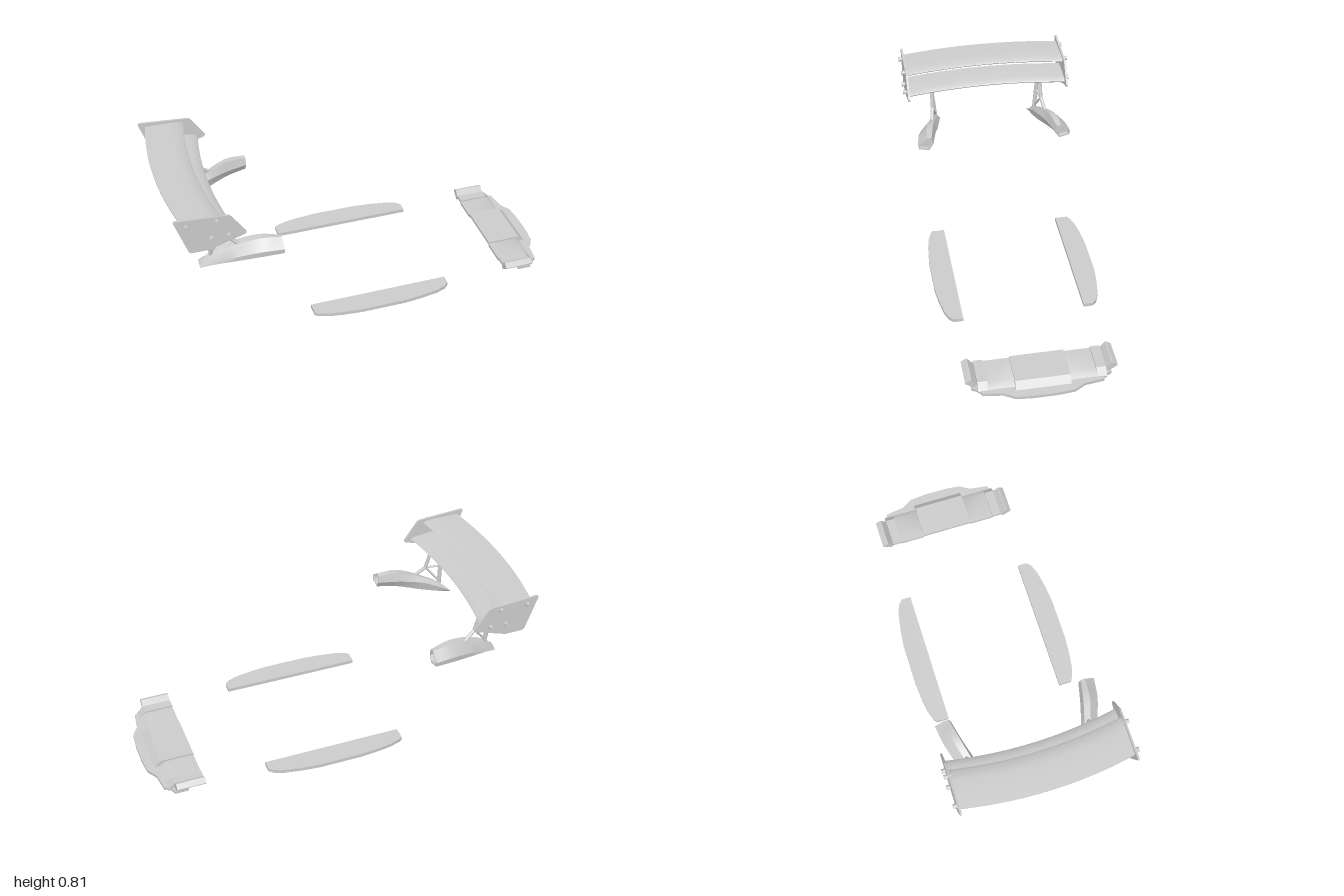
import * as THREE from 'three';
import { toCreasedNormals } from 'three/addons/utils/BufferGeometryUtils.js';

const V = (x, y, z) => new THREE.Vector3(x, y, z);
const material = new THREE.MeshStandardMaterial({ color: 0xcccccc });

function add(parent, name, geometry, crease = 0.6) {
  const mesh = new THREE.Mesh(toCreasedNormals(geometry, crease), material);
  mesh.name = name;
  parent.add(mesh);
  return mesh;
}

// Skin a list of equal-sized rings and close both ends, facing outwards
function loft(rings) {
  const tris = [];
  const n = rings[0].length;
  for (let i = 0; i < rings.length - 1; i++) {
    for (let j = 0; j < n; j++) {
      const k = (j + 1) % n;
      const a = rings[i][j], b = rings[i][k], c = rings[i + 1][k], d = rings[i + 1][j];
      tris.push([a, b, c], [a, c, d]);
    }
  }
  [rings[0], rings[rings.length - 1]].forEach((ring, end) => {
    const mid = centre(ring);
    for (let j = 0; j < n; j++) {
      const a = ring[j], b = ring[(j + 1) % n];
      tris.push(end ? [mid, a, b] : [mid, b, a]);
    }
  });
  let volume = 0;
  for (const [a, b, c] of tris) volume += a.dot(b.clone().cross(c));
  const points = tris.flatMap(([a, b, c]) => (volume < 0 ? [a, c, b] : [a, b, c]));
  return new THREE.BufferGeometry().setFromPoints(points);
}

function centre(ring) {
  return ring.reduce((sum, p) => sum.add(p), V(0, 0, 0)).divideScalar(ring.length);
}

// Profile in x,y extruded along z
function slab(points, z0, z1) {
  const shape = new THREE.Shape(points.map(([x, y]) => new THREE.Vector2(x, y)));
  return new THREE.ExtrudeGeometry(shape, { depth: z1 - z0, bevelEnabled: false }).translate(0, 0, z0);
}

// Outline in x,z with a height range
function plate(points, y0, y1) {
  return slab(points.map(([x, z]) => [x, -z]), y0, y1).rotateX(-Math.PI / 2);
}

function bar(parent, name, a, b, width, sides = 8) {
  const dir = b.clone().sub(a);
  const geometry = new THREE.CylinderGeometry(width, width, dir.length(), sides);
  const mesh = add(parent, name, geometry, 0.9);
  mesh.position.copy(a).add(b).multiplyScalar(0.5);
  mesh.quaternion.setFromUnitVectors(V(0, 1, 0), dir.normalize());
}

// Wing blade whose tips sweep forward
function blade(section) {
  const rings = [];
  for (let i = 0; i <= 20; i++) {
    const t = i / 10 - 1;
    rings.push(section.map(([x, y]) => V(x + 0.042 * t * t, y, t * 0.432)));
  }
  return loft(rings);
}

// Tapered mounting pod, with a recessed front opening
function podGeometry() {
  const sections = [
    [-0.86, [[0.296, 0.396], [0.295, 0.4], [0.28, 0.405], [0.262, 0.409], [0.246, 0.411], [0.26, 0.402]]],
    [-0.8, [[0.319, 0.417], [0.317, 0.428], [0.292, 0.459], [0.272, 0.466], [0.257, 0.445], [0.265, 0.415]]],
    [-0.7, [[0.354, 0.44], [0.355, 0.463], [0.32, 0.511], [0.289, 0.517], [0.273, 0.488], [0.287, 0.436]]],
    [-0.57, [[0.398, 0.47], [0.402, 0.501], [0.357, 0.552], [0.322, 0.554], [0.31, 0.503], [0.335, 0.458]]],
    [-0.465, [[0.414, 0.48], [0.418, 0.505], [0.367, 0.546], [0.344, 0.541], [0.335, 0.505], [0.358, 0.467]]],
  ];
  const lines = [0, 1, 2, 3, 4, 5].map((j) =>
    new THREE.CatmullRomCurve3(sections.map(([x, pts]) => V(x, pts[j][1], pts[j][0]))));
  const rings = [];
  for (let i = 0; i <= 16; i++) rings.push(lines.map((line) => line.getPoint(i / 16)));
  const rim = rings[16];
  const mid = centre(rim);
  for (const depth of [0, 0.025]) {
    rings.push(rim.map((p) => p.clone().lerp(mid, 0.18).add(V(-depth, 0, 0))));
  }
  return loft(rings);
}

function wingSide() {
  const side = new THREE.Group();
  add(side, 'endPlate', slab([[-0.985, 0.805], [-0.735, 0.787], [-0.722, 0.778], [-0.652, 0.675],
    [-0.656, 0.665], [-0.825, 0.61], [-0.92, 0.61], [-0.932, 0.618], [-0.993, 0.797]], 0.431, 0.441));
  for (const [x, y] of [[-0.935, 0.768], [-0.79, 0.768], [-0.82, 0.677], [-0.738, 0.677]]) {
    bar(side, 'endPlateBolt', V(x, y, 0.425), V(x, y, 0.46), 0.0115, 12);
  }
  add(side, 'mountingPod', podGeometry());

  // Two legs braced by thin rods
  const rearTop = V(-0.815, 0.677, 0.302), rearFoot = V(-0.8, 0.45, 0.28);
  const frontTop = V(-0.755, 0.675, 0.302), frontBend = V(-0.725, 0.565, 0.304), frontFoot = V(-0.665, 0.515, 0.318);
  bar(side, 'rearLeg', rearTop, rearFoot, 0.011);
  bar(side, 'frontLeg', frontTop, frontBend, 0.01);
  bar(side, 'frontLegFoot', frontBend, frontFoot, 0.01);
  bar(side, 'diagonalBrace', V(-0.8, 0.475, 0.283), frontBend, 0.006);
  bar(side, 'crossBrace', V(-0.808, 0.565, 0.292), frontBend, 0.006);
  return side;
}

function skirtGeometry() {
  return plate([[-0.312, 0.313], [0.417, 0.313], [0.417, 0.362], [0.395, 0.384], [0.345, 0.403], [0.25, 0.419],
    [0.16, 0.428], [-0.07, 0.428], [-0.17, 0.419], [-0.24, 0.408], [-0.295, 0.39], [-0.312, 0.378]], 0.011, 0.03);
}

// Raised splitter section: flat top, sloping nose and upswept underside
function raised(height, nose, z0, z1) {
  return slab([[0.745, height - 0.016], [0.83, 0.004], [nose + 0.035, 0.004], [nose + 0.035, 0.014],
    [nose, height], [0.745, height]], z0, z1);
}

function splitter() {
  const group = new THREE.Group();
  const half = [[0.83, 0.345], [0.9, 0.345], [0.918, 0.308], [0.945, 0.298], [0.958, 0.2], [0.992, 0.145], [1, 0.06]];
  const mirrored = half.map(([x, z]) => [x, -z]).reverse();
  add(group, 'splitterPlate', plate([...half, ...mirrored], 0, 0.016));
  add(group, 'centrePanel', raised(0.047, 0.918, -0.136, 0.136));
  for (const s of [1, -1]) {
    const side = new THREE.Group();
    side.name = s > 0 ? 'leftSplitterSide' : 'rightSplitterSide';
    side.scale.z = s;
    add(side, 'sidePanel', raised(0.037, 0.893, 0.136, 0.268));
    add(side, 'outerPanel', raised(0.046, 0.893, 0.268, 0.316));
    // Canted winglet
    const section = [[0.316, 0.03], [0.344, 0.067], [0.35, 0.067], [0.375, 0.05], [0.374, 0.045], [0.33, 0.012]];
    const rings = [0.745, 0.885, 0.895].map((x, i) =>
      section.map(([z, y]) => V(x, i === 2 ? y * 0.94 + 0.002 : y, z)));
    add(side, 'winglet', loft(rings), 0.4);
    group.add(side);
  }
  return group;
}

export function createModel() {
  const model = new THREE.Group();

  const wing = new THREE.Group();
  wing.name = 'rearWing';
  add(wing, 'upperBlade', blade([[-1, 0.774], [-1, 0.781], [-0.93, 0.781], [-0.86, 0.78], [-0.815, 0.775],
    [-0.802, 0.766], [-0.812, 0.757], [-0.86, 0.755], [-0.93, 0.762]]));
  add(wing, 'lowerBlade', blade([[-0.89, 0.695], [-0.89, 0.701], [-0.83, 0.698], [-0.77, 0.691], [-0.742, 0.684],
    [-0.733, 0.676], [-0.742, 0.667], [-0.79, 0.665], [-0.84, 0.677]]));
  model.add(wing);

  for (const s of [1, -1]) {
    const label = s > 0 ? 'left' : 'right';
    const side = wingSide();
    side.name = label + 'WingSupport';
    side.scale.z = s;
    wing.add(side);
    const skirt = add(model, label + 'SideSkirt', skirtGeometry());
    skirt.scale.z = s;
  }

  const front = splitter();
  front.name = 'frontSplitter';
  model.add(front);
  return model;
}
